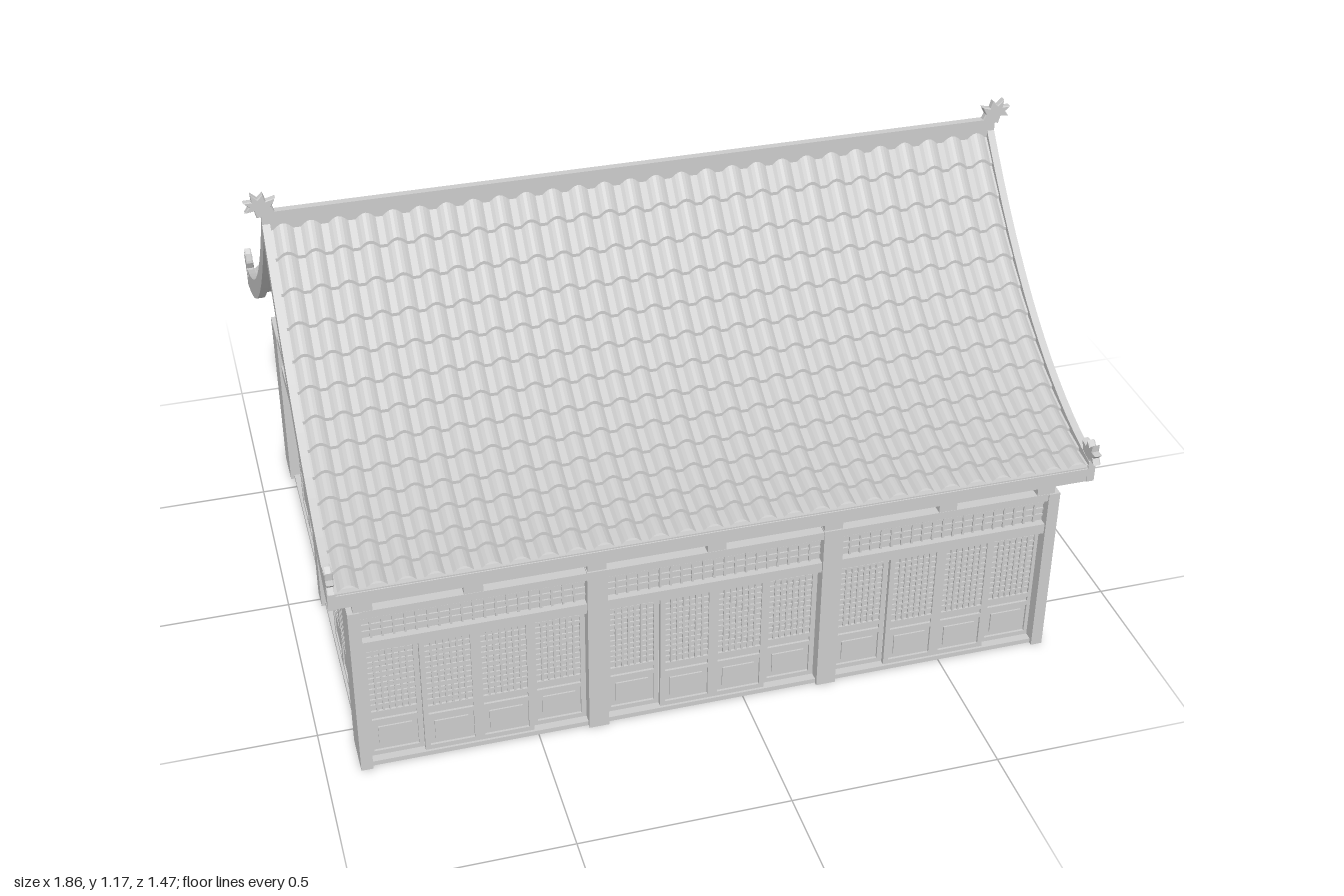
import * as THREE from 'three';
import { mergeGeometries } from 'three/addons/utils/BufferGeometryUtils.js';

const grey = new THREE.MeshStandardMaterial({ color: 0xcccccc, side: THREE.DoubleSide });
const faceted = new THREE.MeshStandardMaterial({ color: 0xcccccc, side: THREE.DoubleSide, flatShading: true });

const HALF_X = 0.845, HALF_Z = 0.645;    // outer faces of the posts
const ROOF_X = 0.89, EAVE_Z = 0.71;      // roof edges

// height of the sweeping roof at distance z from the ridge
const roofY = z => 1.1 - 1.25 * Math.abs(z) + 0.729 * z * z;

// box from min and max corners
function box(x0, x1, y0, y1, z0, z1) {
  return new THREE.BoxGeometry(x1 - x0, y1 - y0, z1 - z0)
    .translate((x0 + x1) / 2, (y0 + y1) / 2, (z0 + z1) / 2);
}

function mesh(name, geometry, material = grey) {
  const m = new THREE.Mesh(Array.isArray(geometry) ? mergeGeometries(geometry) : geometry, material);
  m.name = name;
  return m;
}

// raised grid of thin bars
function lattice(x0, x1, y0, y1, nx, ny, z) {
  const parts = [], t = 0.0025;
  for (let i = 1; i < nx; i++) {
    const x = x0 + (x1 - x0) * i / nx;
    parts.push(box(x - t, x + t, y0, y1, z, z + 0.005));
  }
  for (let j = 1; j < ny; j++) {
    const y = y0 + (y1 - y0) * j / ny;
    parts.push(box(x0, x1, y - t, y + t, z, z + 0.004));
  }
  return parts;
}

// door leaf starting at x = 0: frame, lattice above, raised panel below
function doorLeaf(w) {
  const y0 = 0.012, y1 = 0.342, f = 0.012;
  return mergeGeometries([
    box(0, w, y0, y1, -0.012, -0.006),
    box(0, f, y0, y1, -0.006, 0), box(w - f, w, y0, y1, -0.006, 0),
    ...[y0, 0.105, 0.13, y1 - f].map(y => box(f, w - f, y, y + f, -0.006, 0)),
    box(0.025, w - 0.025, 0.038, 0.092, -0.006, -0.002),
    ...lattice(f, w - f, 0.142, y1 - f, 7, 12, -0.006),
  ]);
}

// wall facing +z with its post faces at z = 0; doorBay is left open
function buildWall(name, half, bays, doorBay = -1) {
  const wall = new THREE.Group();
  wall.name = name;
  const leaves = [], transoms = [], posts = [];
  bays.forEach(([a, b], n) => {
    const w = (b - a) / 4;
    for (let i = 0; i < 4; i++) {
      const inner = i === 1 || i === 2;
      const leaf = doorLeaf(w);
      if (inner && n === doorBay) {
        // swung inwards on its outer edge
        if (i === 1) leaf.rotateY(1.35).translate(a + w, 0, -0.02);
        else leaf.translate(-w, 0, 0).rotateY(-1.35).translate(b - w, 0, -0.02);
      } else leaf.translate(a + i * w, 0, inner ? -0.016 : -0.03);
      leaves.push(leaf);
    }
    transoms.push(box(a, b, 0.36, 0.445, -0.04, -0.025), ...lattice(a, b, 0.367, 0.437, 20, 4, -0.025));
    if (n > 0) posts.push(box(bays[n - 1][1], a, 0, 0.46, -0.05, 0));
  });
  wall.add(
    mesh('doorLeaves', leaves),
    mesh('transoms', transoms),
    mesh('posts', posts),
    mesh('beams', [
      box(-half + 0.02, half - 0.02, 0.34, 0.367, -0.045, -0.006),
      box(-half + 0.02, half - 0.02, 0.437, 0.457, -0.045, -0.003),
    ]),
  );
  return wall;
}

// band following the roof curve, between two height offsets
function roofBand(top, bottom, x0, x1, reach = EAVE_Z, floorY = null) {
  const shape = new THREE.Shape(), n = 32;
  for (let i = 0; i <= n; i++) {
    const z = -reach + 2 * reach * i / n;
    shape[i ? 'lineTo' : 'moveTo'](z, roofY(z) + top);
  }
  if (floorY !== null) shape.lineTo(reach, floorY).lineTo(-reach, floorY);
  else for (let i = n; i >= 0; i--) {
    const z = -reach + 2 * reach * i / n;
    shape.lineTo(z, roofY(z) + bottom);
  }
  return new THREE.ExtrudeGeometry(shape, { depth: x1 - x0, bevelEnabled: false, steps: 1 })
    .rotateY(Math.PI / 2).translate(x0, 0, 0);
}

// one slope of overlapping tiles: round cover tiles with flat gaps, stepped row by row
function tileSlope() {
  const columns = 28, rows = 13, seg = 6, width = 2 * (ROOF_X - 0.015) / columns, gap = 0.26;
  const profile = [];
  for (let c = 0; c < columns; c++) {
    const x = -ROOF_X + 0.015 + c * width;
    profile.push([x, 0]);
    for (let k = 0; k <= seg; k++) {
      const t = k / seg;
      profile.push([x + width * (gap / 2 + (1 - gap) * t), 0.014 * Math.sin(Math.PI * t)]);
    }
  }
  profile.push([ROOF_X - 0.015, 0]);
  const pos = [], index = [], n = profile.length;
  for (let r = 0; r < rows; r++) {
    for (const end of [0, 1]) {
      const z = EAVE_Z * (r + end) / rows;
      for (const [x, h] of profile) pos.push(x, roofY(z) - 0.012 + h + end * 0.008, z);
    }
  }
  for (let s = 0; s < rows * 2 - 1; s++) {
    for (let i = 0; i < n - 1; i++) {
      const a = s * n + i, b = a + n;
      index.push(a, b, a + 1, a + 1, b, b + 1);
    }
  }
  const g = new THREE.BufferGeometry();
  g.setAttribute('position', new THREE.Float32BufferAttribute(pos, 3));
  g.setIndex(index);
  g.computeVertexNormals();
  return g;
}

// small beast-head finial looking along +x
function finial() {
  const pts = [[-0.03, -0.01], [0.012, -0.01], [0.016, 0.008], [0.036, 0.004], [0.026, 0.017], [0.038, 0.028],
    [0.02, 0.028], [0.022, 0.046], [0.008, 0.032], [-0.004, 0.044], [-0.009, 0.026], [-0.03, 0.032], [-0.02, 0.014]];
  const shape = new THREE.Shape(pts.map(p => new THREE.Vector2(...p)));
  return new THREE.ExtrudeGeometry(shape, {
    depth: 0.012, bevelEnabled: true, bevelThickness: 0.003, bevelSize: 0.002, bevelSegments: 1,
  }).translate(0, 0, -0.006);
}

export function createModel() {
  const model = new THREE.Group();
  model.name = 'hall';
  const hall = new THREE.Group();
  hall.name = 'building';
  hall.position.x = -0.075;
  model.add(hall);

  hall.add(mesh('floor', box(-HALF_X + 0.01, HALF_X - 0.01, 0, 0.012, -HALF_Z + 0.01, HALF_Z - 0.01)));

  // long walls, with the open doorway in the middle of the back
  const longBays = [[-0.82, -0.305], [-0.2575, 0.2575], [0.305, 0.82]];
  for (const s of [1, -1]) {
    const wall = buildWall(s > 0 ? 'frontWall' : 'backWall', HALF_X, longBays, s > 0 ? -1 : 1);
    wall.add(mesh('upperPanel', box(-HALF_X + 0.02, HALF_X - 0.02, 0.45, 0.57, -0.045, -0.03)));
    const struts = [-0.81, -0.5625, -0.281, 0, 0.281, 0.5625, 0.81];
    wall.add(mesh('upperStruts', struts.map(x => box(x - 0.022, x + 0.022, 0.455, 0.565, -0.045, -0.004))));
    wall.position.z = s * HALF_Z;
    wall.rotation.y = s > 0 ? 0 : Math.PI;
    hall.add(wall);
  }

  // end walls with gables above
  const endBays = [[-0.538, -0.028], [0.028, 0.538]];
  for (const s of [1, -1]) {
    const wall = buildWall(s > 0 ? 'leftWall' : 'rightWall', HALF_Z, endBays);
    wall.add(mesh('gablePosts', [-1, 1].map(k =>
      box(k * 0.2825 - 0.0225, k * 0.2825 + 0.0225, 0.455, roofY(0.305) - 0.02, -0.04, -0.003))));
    wall.position.x = s * HALF_X;
    wall.rotation.y = s * Math.PI / 2;
    hall.add(wall);
    const x = s * (HALF_X - 0.035);
    hall.add(mesh('gable', roofBand(-0.02, 0, x - 0.008, x + 0.008, 0.625, 0.44)));
  }

  // corner posts
  for (const sx of [1, -1]) for (const sz of [1, -1]) {
    const post = mesh('cornerPost', box(-0.014, 0.014, 0, 0.457, -0.053, 0.053));
    post.position.set(sx * (HALF_X - 0.014), 0, sz * (HALF_Z - 0.053));
    hall.add(post);
  }

  // roof
  const roof = new THREE.Group();
  roof.name = 'roof';
  hall.add(roof);
  roof.add(mesh('roofDeck', roofBand(-0.014, -0.035, -ROOF_X + 0.01, ROOF_X - 0.01)));
  for (const s of [1, -1]) {
    const tiles = mesh(s > 0 ? 'frontTiles' : 'backTiles', tileSlope(), faceted);
    tiles.rotation.y = s > 0 ? 0 : Math.PI;
    const z = s * (EAVE_Z - 0.012);
    roof.add(tiles,
      mesh('rakeBoard', roofBand(0.006, -0.05, s * (ROOF_X - 0.009) - 0.009, s * (ROOF_X - 0.009) + 0.009)),
      mesh('eaveBoard', box(-ROOF_X + 0.01, ROOF_X - 0.01, 0.53, 0.57, z - 0.01, z + 0.01)));
  }
  roof.add(mesh('ridge', box(-ROOF_X, ROOF_X, 1.07, 1.125, -0.009, 0.009)));

  // finials at ridge ends and eave corners
  for (const sx of [1, -1]) {
    const top = mesh('ridgeFinial', finial(), faceted);
    top.position.set(sx * (ROOF_X - 0.003), 1.125, 0);
    top.rotation.y = sx > 0 ? 0 : Math.PI;
    roof.add(top);
    for (const sz of [1, -1]) {
      const corner = mesh('eaveFinial', finial(), faceted);
      corner.position.set(sx * (ROOF_X - 0.008), 0.586, sz * 0.693);
      corner.rotation.y = -sz * Math.PI / 2;
      roof.add(corner);
    }
  }
  return model;
}
